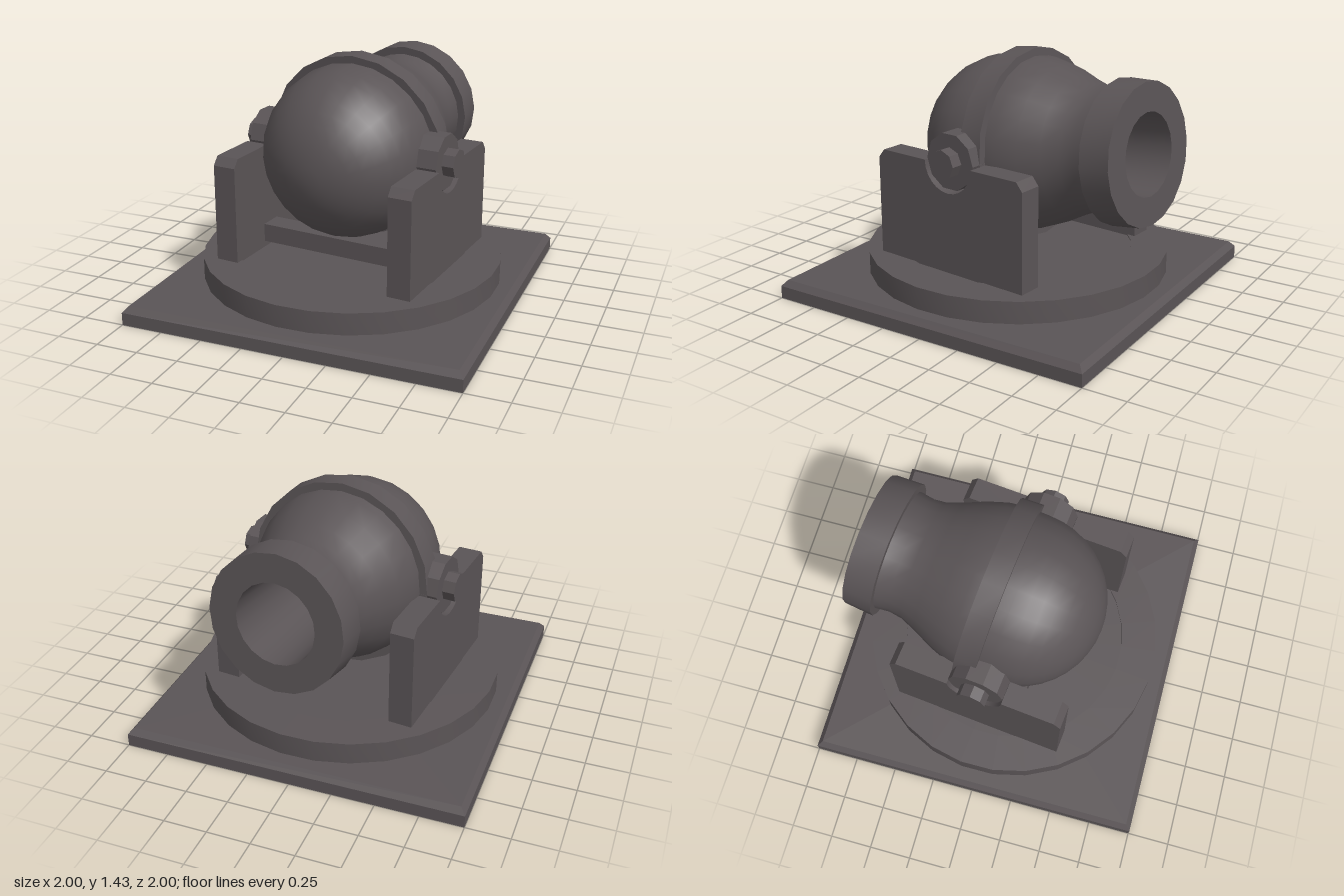
import * as THREE from 'three';
import { toCreasedNormals } from 'three/addons/utils/BufferGeometryUtils.js';

const iron = new THREE.MeshStandardMaterial({ color: 0x5a5456 });
iron.name = 'dark iron';

function part(name, geometry, parent, crease = 0.5) {
  const mesh = new THREE.Mesh(toCreasedNormals(geometry, crease), iron);
  mesh.name = name;
  parent.add(mesh);
  return mesh;
}

const lathe = (pts, sides) =>
  new THREE.LatheGeometry(pts.map(([r, y]) => new THREE.Vector2(r, y)), sides);

export function createModel() {
  const model = new THREE.Group();
  model.name = 'mortar';

  // Square base plate with a chamfered top edge
  const slab = new THREE.BoxGeometry(2, 0.075, 2);
  slab.translate(0, 0.0375, 0);
  part('basePlate', slab, model);
  const bevel = new THREE.CylinderGeometry(0.97 * Math.SQRT2, Math.SQRT2, 0.035, 4, 1);
  bevel.rotateY(Math.PI / 4);
  bevel.translate(0, 0.0925, 0);
  part('basePlateBevel', bevel, model);

  // Everything above the plate is swivelled a little
  const carriage = new THREE.Group();
  carriage.name = 'carriage';
  carriage.rotation.y = -0.105;
  model.add(carriage);

  // Turntable with a shallow recess in its top
  part('turntable', lathe([
    [0, 0.108], [0.895, 0.108], [0.895, 0.24], [0.68, 0.24], [0.68, 0.233], [0, 0.233],
  ], 28), carriage);

  // Side cheeks, each with a round notch that holds the trunnion
  const cheek = new THREE.Shape();
  cheek.moveTo(-0.52, 0.232);
  cheek.lineTo(0.52, 0.232);
  cheek.lineTo(0.52, 0.82);
  cheek.lineTo(0.48, 0.87);
  cheek.lineTo(0.165, 0.87);
  cheek.absarc(0, 0.87, 0.165, 0, -Math.PI, true);
  cheek.lineTo(-0.48, 0.87);
  cheek.lineTo(-0.52, 0.82);
  cheek.closePath();

  for (const [side, s] of [['left', 1], ['right', -1]]) {
    const plate = new THREE.ExtrudeGeometry(cheek, { depth: 0.14, bevelEnabled: false, curveSegments: 6 });
    plate.translate(0, 0, -0.07);
    plate.rotateY(Math.PI / 2);
    plate.translate(s * 0.557, 0, 0);
    part(side + 'Cheek', plate, carriage);

    // Trunnion boss and its projecting pin
    for (const [name, r, x0, x1, n] of [['Boss', 0.165, 0.44, 0.605, 10], ['Pin', 0.085, 0.58, 0.675, 8]]) {
      const round = new THREE.CylinderGeometry(r, r, x1 - x0, n);
      round.rotateZ(Math.PI / 2);
      round.translate(s * (x0 + x1) / 2, 0.882, 0);
      part(side + 'Trunnion' + name, round, carriage);
    }
  }

  // Cross beam tying the cheeks together
  const beam = new THREE.BoxGeometry(1.0, 0.11, 0.14);
  beam.translate(0, 0.325, 0.15);
  part('crossBeam', beam, carriage);

  // Barrel: local +y runs from the round breech to the muzzle
  const barrel = new THREE.Group();
  barrel.name = 'barrel';
  barrel.position.y = 0.872;
  barrel.rotation.x = -Math.PI / 2 + 0.085;
  carriage.add(barrel);

  const body = [];
  for (let i = 0; i <= 10; i++) {
    const a = (i / 10) * Math.PI / 2;
    body.push([0.51 * Math.sin(a), -0.03 - 0.51 * Math.cos(a)]);
  }
  body.push([0.512, 0.1], [0.495, 0.22], [0.455, 0.34], [0.4, 0.46], [0.362, 0.56], [0.352, 0.64], [0.365, 0.74]);
  part('barrelBody', lathe(body, 24), barrel, 0.7);

  // Reinforcing band around the widest part
  part('barrelBand', lathe([[0.49, 0.035], [0.555, 0.035], [0.548, 0.165], [0.48, 0.165]], 20), barrel);

  // Muzzle ring with the hollow bore
  part('muzzle', lathe([
    [0.33, 0.725], [0.41, 0.725], [0.4, 0.9], [0.235, 0.9], [0.225, 0.25], [0, 0.2],
  ], 20), barrel);

  return model;
}
